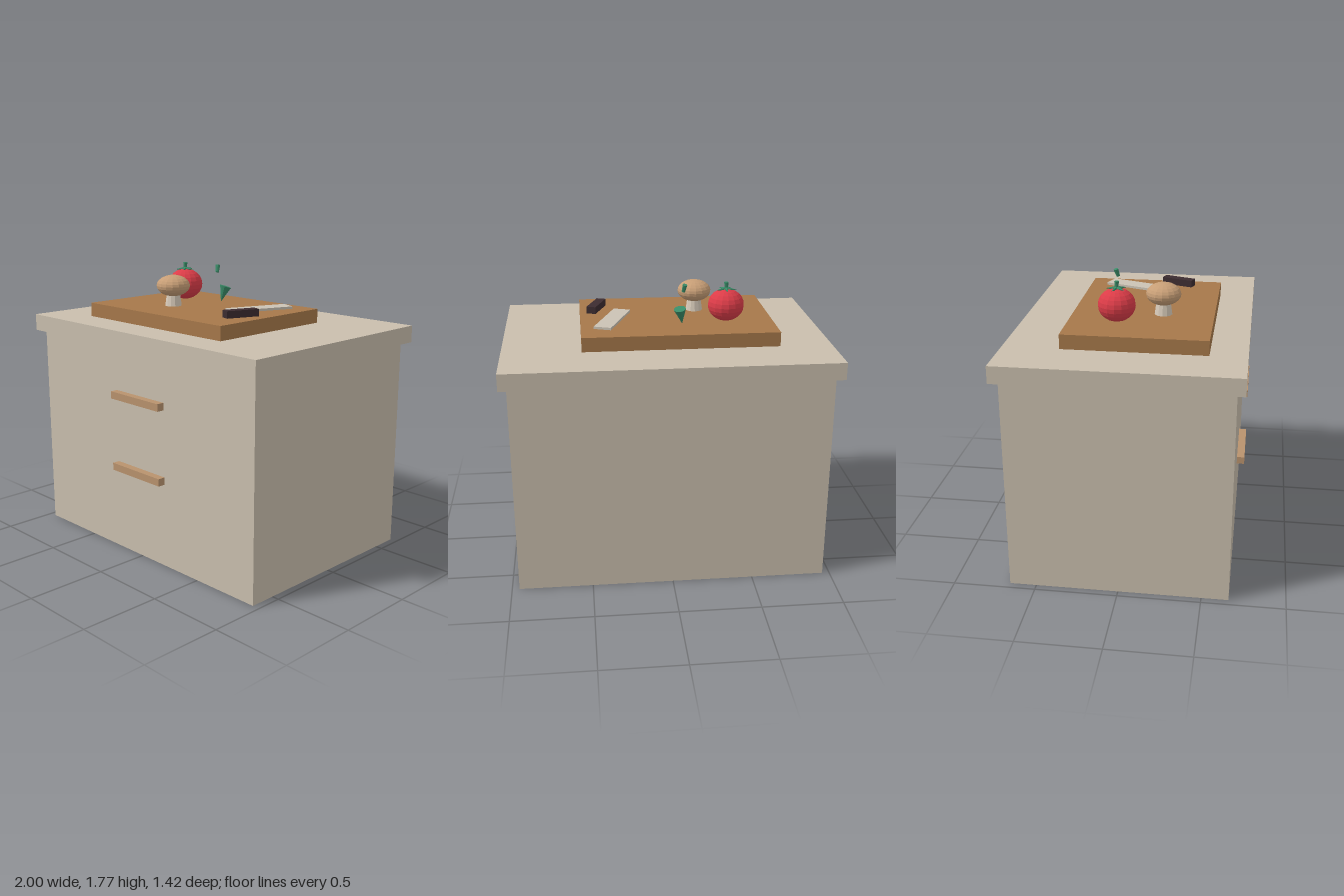
import * as THREE from 'three';

const mat = (name, color) => {
  const m = new THREE.MeshStandardMaterial({ color });
  m.name = name;
  m.flatShading = true;
  return m;
};

export function createModel() {
  const model = new THREE.Group();
  model.name = 'kitchenCounter';

  const stone = mat('stone beige', 0xc9bead);
  const wood = mat('board wood', 0xa6784a);
  const handleWood = mat('handle wood', 0xb8926d);
  const red = mat('tomato red', 0xdc3c48);
  const green = mat('leaf green', 0x3a8c68);
  const capBrown = mat('mushroom brown', 0xc79e76);
  const stemCream = mat('mushroom cream', 0xd8cbba);
  const steel = mat('blade grey', 0xcbc2b4);
  const dark = mat('knife handle dark', 0x3c2c30);

  const add = (name, geometry, material, x, y, z, parent = model) => {
    const mesh = new THREE.Mesh(geometry, material);
    mesh.name = name;
    mesh.position.set(x, y, z);
    parent.add(mesh);
    return mesh;
  };
  const box = (name, w, h, d, material, x, y, z, parent) =>
    add(name, new THREE.BoxGeometry(w, h, d), material, x, y, z, parent);

  // Cabinet, worktop and drawer handles
  box('cabinet', 1.91, 1.325, 1.325, stone, 0, 0.6625, 0);
  box('worktop', 2, 0.105, 1.42, stone, 0, 1.3775, 0);
  for (const y of [0.555, 1.02]) box('drawerHandle', 0.434, 0.046, 0.05, handleWood, 0, y, 0.685);

  // Cutting board
  box('cuttingBoard', 1.2, 0.088, 0.86, wood, -0.08, 1.474, 0.06);

  // Tomato with a five-leaf crown and stalk
  const tomato = new THREE.Group();
  tomato.name = 'tomato';
  tomato.position.set(-0.387, 1.618, -0.08);
  model.add(tomato);
  add('tomatoBody', new THREE.SphereGeometry(0.113, 16, 12), red, 0, 0, 0, tomato).scale.y = 0.885;
  for (let i = 0; i < 5; i++) {
    const leaf = new THREE.Group();
    leaf.name = 'tomatoLeaf';
    leaf.rotation.y = Math.PI / 2 + (i * Math.PI * 2) / 5;
    tomato.add(leaf);
    const blade = add('leafBlade', new THREE.ConeGeometry(0.013, 0.062, 6), green, 0.034, 0.099, 0, leaf);
    blade.rotation.z = -Math.PI / 2 - 0.05;
  }
  add('tomatoStalk', new THREE.CylinderGeometry(0.014, 0.01, 0.048, 8), green, 0, 0.118, 0, tomato);

  // Mushroom
  add('mushroomStem', new THREE.CylinderGeometry(0.042, 0.054, 0.085, 12), stemCream, -0.22, 1.5605, 0.18);
  add('mushroomCap', new THREE.SphereGeometry(0.107, 16, 12), capBrown, -0.22, 1.646, 0.18).scale.y = 0.635;

  // Tilted pepper and its separate stalk
  const pepper = add('pepper', new THREE.ConeGeometry(0.038, 0.105, 10), green, -0.098, 1.57, -0.15);
  pepper.rotation.set(Math.PI - 0.25, 0, 0.17);
  const stalk = add('pepperStalk', new THREE.CylinderGeometry(0.015, 0.011, 0.048, 8), green, -0.12, 1.738, -0.119);
  stalk.rotation.set(-0.3, 0, 0.17);

  // Knife blade and handle
  box('knifeBlade', 0.11, 0.015, 0.41, steel, 0.32, 1.534, -0.047).rotation.y = -0.35;
  box('knifeHandle', 0.06, 0.044, 0.21, dark, 0.413, 1.547, 0.214).rotation.y = -0.35;

  return model;
}
